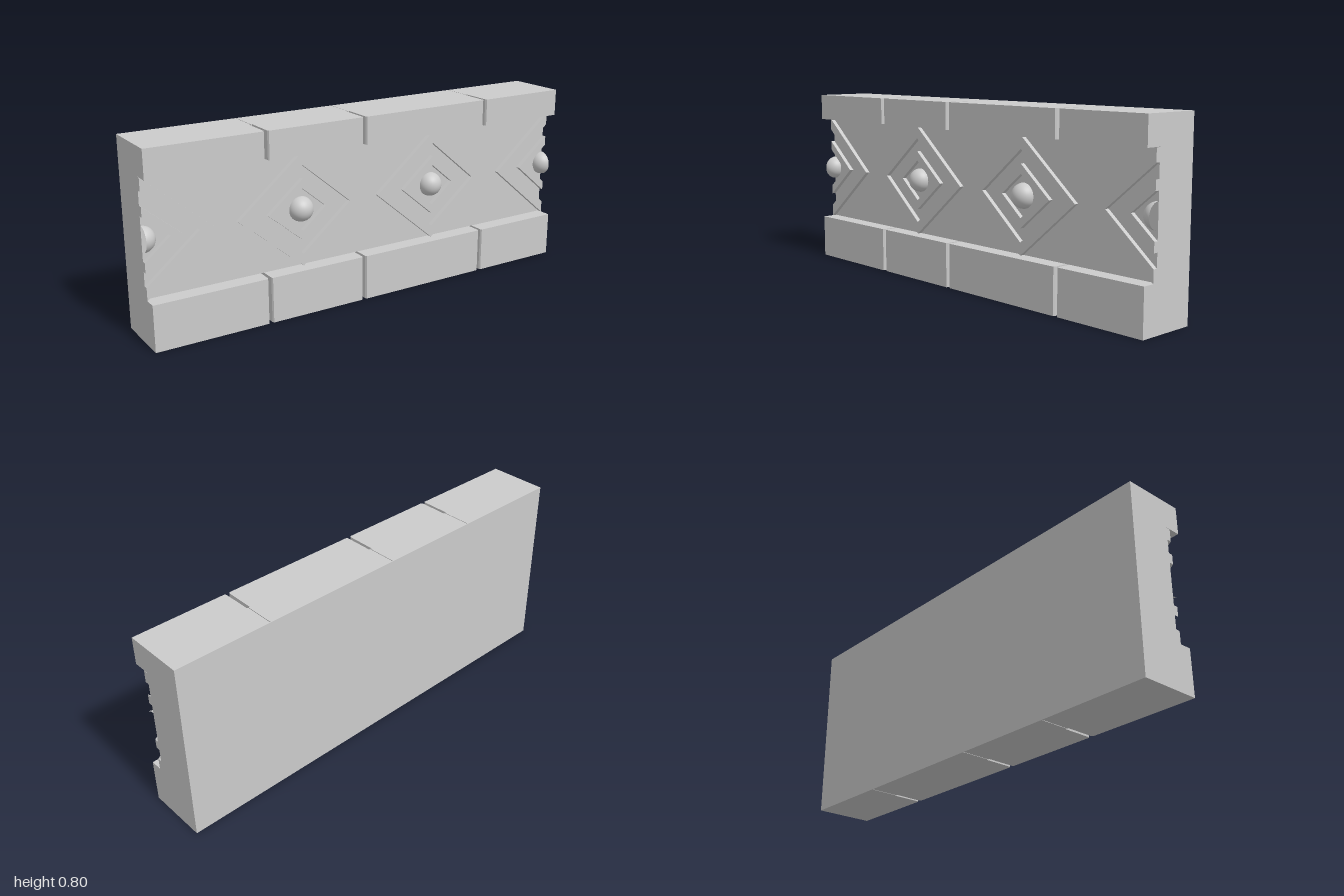
import * as THREE from 'three';

export function createModel() {
  const group = new THREE.Group();
  const material = new THREE.MeshStandardMaterial({ color: 0xcccccc });
  const END = 1, FRONT = 0.133, PANEL = 0.0625;
  const LOW = 0.195, HIGH = 0.682, TOP = 0.8, MID = 0.4375;

  const add = (name, geometry, x = 0, y = 0, z = 0, parent = group) => {
    const mesh = new THREE.Mesh(geometry, material);
    mesh.name = name;
    mesh.position.set(x, y, z);
    parent.add(mesh);
    return mesh;
  };

  // Recessed wall panel
  add('recessedPanel', new THREE.BoxGeometry(2 * END, HIGH - LOW, PANEL + FRONT),
    0, (LOW + HIGH) / 2, (PANEL - FRONT) / 2);

  // Rails: plan outline with chamfered joints that narrow to a seam at the back
  const joints = [-0.503, -0.053, 0.577];
  const notch = [[-0.011, 0.133], [-0.007, 0.125], [-0.007, 0], [-0.0015, 0], [-0.0015, -0.131],
    [0.0015, -0.131], [0.0015, 0], [0.007, 0], [0.007, 0.125], [0.011, 0.133]];
  const outline = [[-END, -FRONT], [-END, FRONT]];
  joints.forEach(j => notch.forEach(([x, z]) => outline.push([j + x, z])));
  outline.push([END, FRONT], [END, -FRONT]);
  const railShape = new THREE.Shape(outline.map(([x, z]) => new THREE.Vector2(x, -z)));
  const rail = (name, y0, y1) => {
    const g = new THREE.ExtrudeGeometry(railShape, { depth: y1 - y0, bevelEnabled: false });
    add(name, g.rotateX(-Math.PI / 2), 0, y0);
  };
  rail('lowerRail', 0, LOW);
  rail('upperRail', HIGH, TOP);

  // Half of a raised diamond frame, pointing to +x (side 1) or -x (side -1)
  const chevron = (outer, inner, side) => {
    const w = 0.29 * side, h = 0.243;
    const shape = new THREE.Shape([
      [0, -h * outer], [w * outer, 0], [0, h * outer],
      [0, h * inner], [w * inner, 0], [0, -h * inner],
    ].map(p => new THREE.Vector2(...p)));
    return new THREE.ExtrudeGeometry(shape, { depth: 0.022, bevelEnabled: false });
  };

  // Diamond ornaments: two nested frames round a domed stud; the end ones are halved
  const ornaments = [[-END, [1]], [-0.32, [1, -1]], [0.335, [1, -1]], [END, [-1]]];
  ornaments.forEach(([x, sides]) => {
    const ornament = new THREE.Group();
    ornament.name = 'diamondOrnament';
    ornament.position.set(x, MID, PANEL);
    group.add(ornament);
    sides.forEach(side => {
      add('outerFrame', chevron(1, 0.78, side), 0, 0, -0.003, ornament);
      add('innerFrame', chevron(0.54, 0.37, side), 0, 0, -0.003, ornament);
      const start = side > 0 ? Math.PI / 2 : -Math.PI / 2;
      add('stud', new THREE.SphereGeometry(0.053, 16, 24, start, Math.PI), 0, 0, 0, ornament);
    });
  });

  return group;
}
